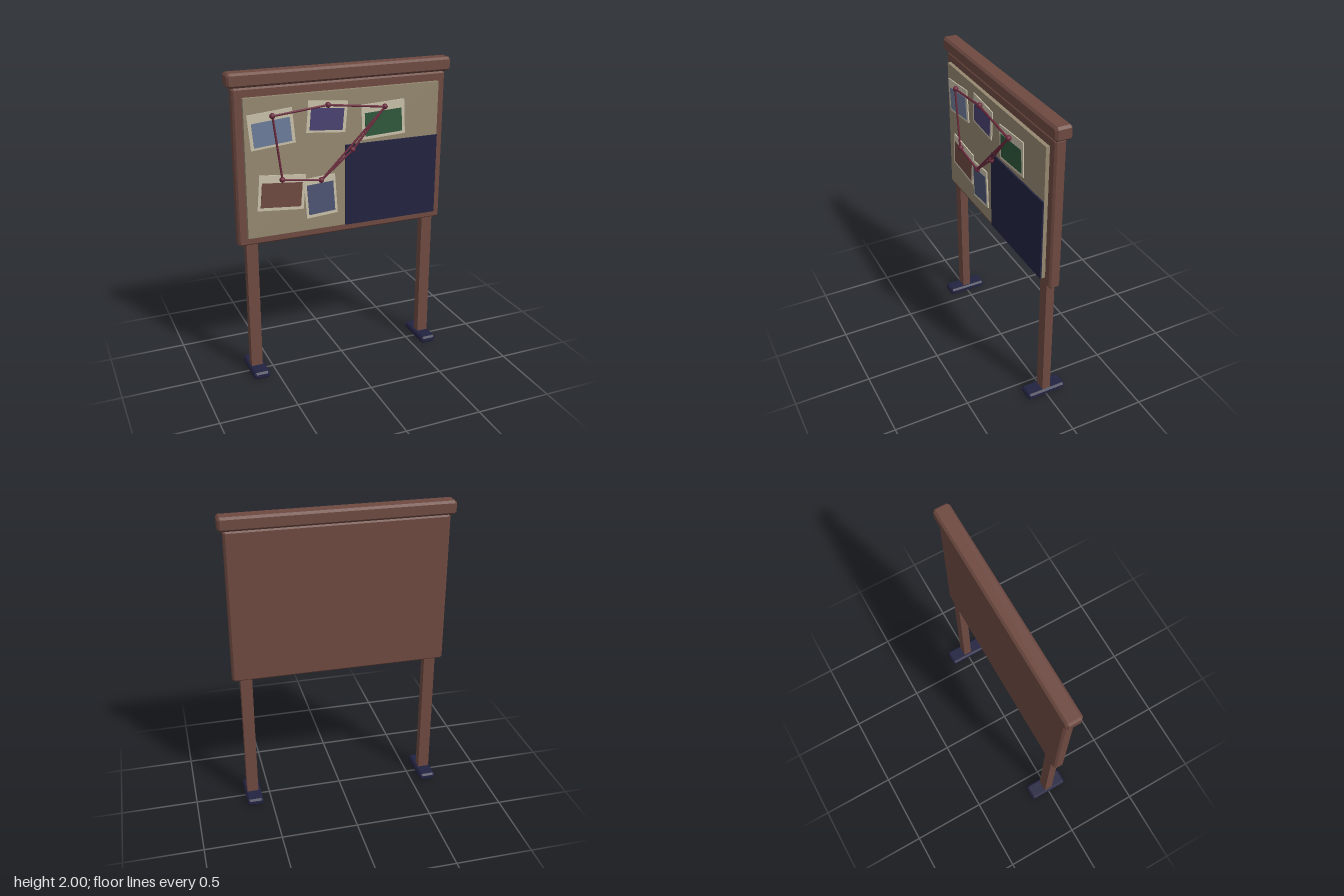
import * as THREE from 'three';

const mat = (name, color) => {
  const m = new THREE.MeshStandardMaterial({ color });
  m.name = name;
  return m;
};

// Box with chamfered edges and corners
function chamferBox(w, h, d, c) {
  const x = w / 2, y = h / 2;
  const shape = new THREE.Shape([
    [x - c, -y], [x, -y + c], [x, y - c], [x - c, y],
    [-x + c, y], [-x, y - c], [-x, -y + c], [-x + c, -y],
  ].map(([a, b]) => new THREE.Vector2(a, b)));
  const geo = new THREE.ExtrudeGeometry(shape, {
    depth: d - 2 * c, bevelEnabled: true, bevelSegments: 1,
    bevelSize: c, bevelThickness: c, bevelOffset: -c,
  });
  return geo.translate(0, 0, -d / 2 + c);
}

export function createModel() {
  const wood = mat('wood brown', 0x6e4a41);
  const navy = mat('navy', 0x222341);
  const cork = mat('cork', 0x958870);
  const paper = mat('paper', 0xc9c1aa);
  const red = mat('pin red', 0x6c2a3d);
  const blue = mat('photo blue', 0x6d7c9a);
  const purple = mat('photo purple', 0x4a4171);
  const green = mat('photo green', 0x2f573b);
  const slate = mat('photo slate', 0x4e5474);

  const model = new THREE.Group();
  model.name = 'noticeBoard';
  const add = (name, geo, material, x, y, z, parent = model) => {
    const mesh = new THREE.Mesh(geo, material);
    mesh.name = name;
    mesh.position.set(x, y, z);
    parent.add(mesh);
    return mesh;
  };

  // Frame, top cap, cork face and dark notice panel
  add('frame', chamferBox(1.408, 0.997, 0.072, 0.012), wood, 0, 1.412, 0);
  add('cap', chamferBox(1.47, 0.088, 0.106, 0.014), wood, 0, 1.956, 0);
  add('corkFace', new THREE.BoxGeometry(1.294, 0.882, 0.032), cork, 0, 1.412, 0.044);
  add('noticePanel', new THREE.BoxGeometry(0.645, 0.534, 0.012), navy, 0.3225, 1.238, 0.064);

  // Legs and feet
  for (const [side, s] of [['left', 1], ['right', -1]]) {
    add(side + 'Leg', new THREE.BoxGeometry(0.075, 0.94, 0.056), wood, s * 0.617, 0.49, 0);
    add(side + 'Foot', chamferBox(0.107, 0.046, 0.268, 0.012), navy, s * 0.614, 0.023, 0);
  }

  // Photos: centre x, y, paper width, height, tilt in degrees,
  // picture width, height, drop below the paper centre, colour
  const photos = [
    [-0.479, 1.655, 0.285, 0.22, 5.3, 0.242, 0.15, 0.02, blue],
    [-0.122, 1.697, 0.26, 0.196, -5, 0.218, 0.138, 0.014, purple],
    [0.259, 1.645, 0.296, 0.224, 3, 0.254, 0.15, 0.018, green],
    [-0.425, 1.248, 0.302, 0.228, -5, 0.264, 0.158, 0.015, wood],
    [-0.167, 1.19, 0.21, 0.262, 4, 0.177, 0.198, 0.011, slate],
  ];
  photos.forEach(([x, y, w, h, tilt, pw, ph, drop, colour], i) => {
    const photo = new THREE.Group();
    photo.name = 'photo' + (i + 1);
    photo.position.set(x, y, 0.063 + (i === 4 ? 0.001 : 0));
    photo.rotation.z = THREE.MathUtils.degToRad(tilt);
    add('photoPaper', new THREE.BoxGeometry(w, h, 0.008), paper, 0, 0, 0, photo);
    add('photoPicture', new THREE.BoxGeometry(pw, ph, 0.004), colour, 0, -drop, 0.0045, photo);
    model.add(photo);
  });

  // Pins, with string stretched between them
  const pins = [
    [-0.477, 1.74], [-0.122, 1.775], [0.259, 1.73],
    [0.04, 1.477], [-0.17, 1.303], [-0.425, 1.337],
  ].map(([x, y]) => new THREE.Vector3(x, y, 0.084));
  pins[3].z = 0.088;
  const pinGeo = new THREE.SphereGeometry(0.018, 16, 12);
  pins.forEach((p, i) => add('pin' + (i + 1), pinGeo, red, p.x, p.y, p.z));

  const up = new THREE.Vector3(0, 1, 0);
  for (const [a, b] of [[0, 1], [1, 2], [2, 4], [4, 5], [5, 0], [2, 3], [3, 4]]) {
    const dir = pins[b].clone().sub(pins[a]);
    const mid = pins[a].clone().add(pins[b]).multiplyScalar(0.5);
    const geo = new THREE.CylinderGeometry(0.007, 0.007, dir.length(), 8);
    add('string', geo, red, mid.x, mid.y, mid.z + 0.003)
      .quaternion.setFromUnitVectors(up, dir.normalize());
  }
  return model;
}
